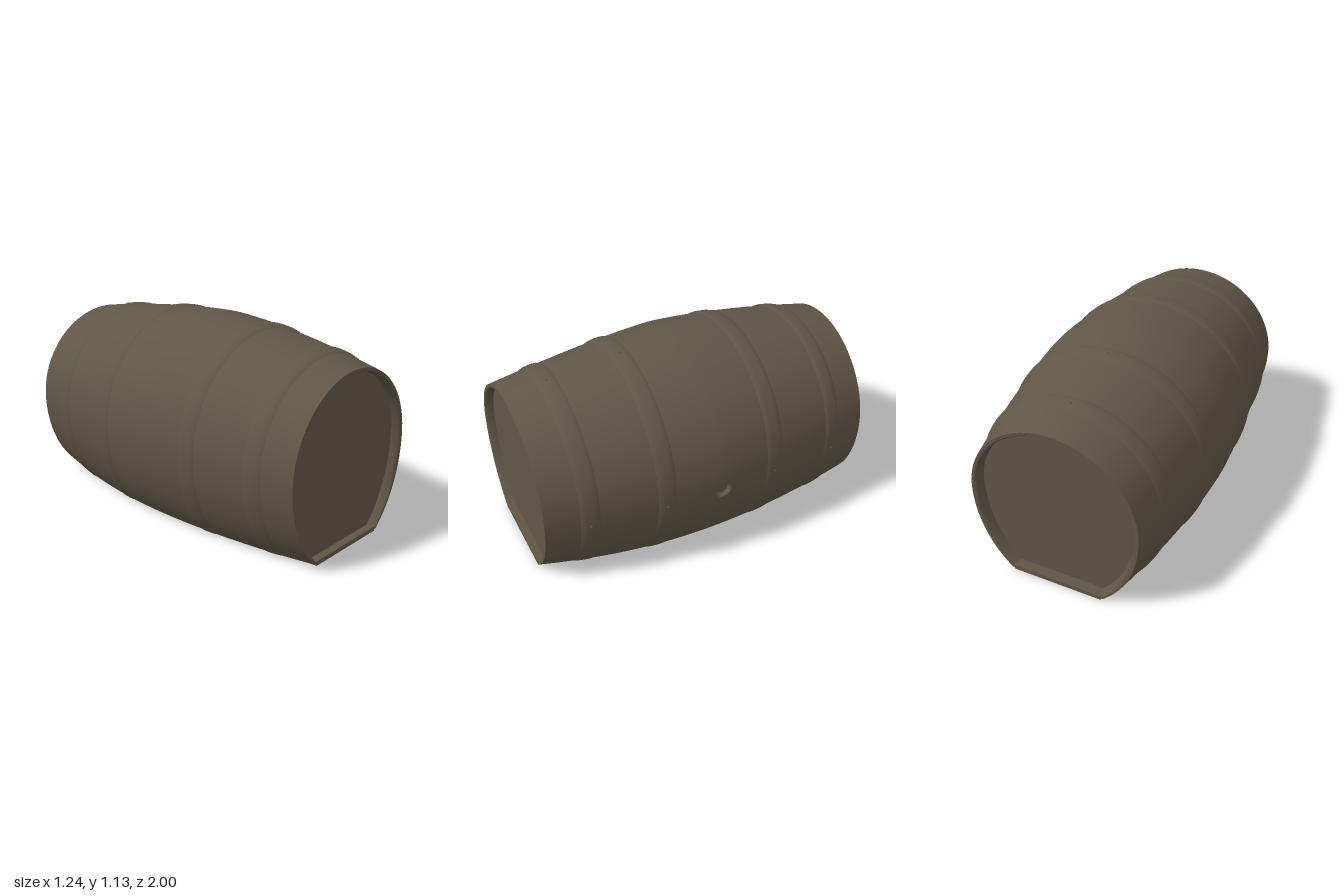
import * as THREE from 'three';
import { toCreasedNormals } from 'three/addons/utils/BufferGeometryUtils.js';

const AXIS_Y = 0.515, FLOOR_Y = 0.01;

// Barrel outline along its length: radius, sideways drift and half width of the cut-off base
const radiusAt = (z) => 0.62 - 0.125 * Math.pow(Math.abs(z), 1.5);
const driftAt = (z) => (z > 0 ? -0.033 : 0.015) * z * z;
const baseAt = (z) => 0.425 - 0.145 * z * z;
// The back end is cut slightly askew
const skewAt = (x, z) => 0.03 * (x + 0.48) * Math.max(0, -z - 0.7) / 0.3;

// One ring of points around the barrel, open along the flat base
function ring(z, steps, offset = 0, lift = 0) {
  const r = radiusAt(z) + offset;
  const start = -Math.acos((baseAt(z) + offset * 0.6) / r);
  const low = (AXIS_Y - FLOOR_Y) / Math.sin(-start);
  return steps.map((t) => {
    const a = start + t * (Math.PI - 2 * start);
    const s = Math.sin(a);
    const x = driftAt(z) + r * Math.cos(a);
    return new THREE.Vector3(x, AXIS_Y + lift + (s > 0 ? r : low) * s, z + skewAt(x, z));
  });
}

// Skin over a row of rings, listed from back to front for outward faces
function loft(rings) {
  const n = rings[0].length, index = [];
  for (let i = 0; i < rings.length - 1; i++) {
    for (let j = 0; j < n - 1; j++) {
      const a = i * n + j, c = a + n;
      index.push(a, a + 1, c, a + 1, c + 1, c);
    }
  }
  const g = new THREE.BufferGeometry().setFromPoints(rings.flat());
  g.setIndex(index);
  g.computeVertexNormals();
  return g;
}

const range = (a, b, n) => Array.from({ length: n + 1 }, (_, i) => a + (b - a) * i / n);
const merge = (...lists) => [...new Set(lists.flat().map((v) => +v.toFixed(4)))].sort((a, b) => a - b);

export function createModel() {
  const group = new THREE.Group();
  const wood = new THREE.MeshStandardMaterial({ color: 0x5f5647, side: THREE.DoubleSide });
  wood.name = 'weathered wood';
  const add = (name, geometry) => {
    const mesh = new THREE.Mesh(geometry, wood);
    mesh.name = name;
    group.add(mesh);
    return mesh;
  };
  const steps = range(0, 1, 96);

  // Hollow stave body, with finer rows where the bung hole is pressed in on the left side
  const fineSteps = merge(steps, range(0.12, 0.2, 60));
  const rows = merge(range(-1, 1, 48), range(-0.06, 0.06, 30));
  const body = rows.map((z) => ring(z, fineSteps));
  for (const p of body.flat()) {
    if (p.x < 0) continue;
    const d = Math.hypot(p.y - 0.48, p.z - 0.01);
    p.x -= 0.025 * (1 - THREE.MathUtils.smoothstep(d, 0.037, 0.048));
  }
  add('staveBody', loft(body));

  // Softly raised hoops
  const hoops = [[-0.79, -0.71], [-0.37, -0.29], [0.3, 0.38], [0.72, 0.8]];
  hoops.forEach(([z0, z1], i) => {
    const profile = [[z0 - 0.012, 0.001], [z0, 0.007], [z0 + 0.02, 0.01], [z1 - 0.02, 0.01], [z1, 0.007], [z1 + 0.012, 0.001]];
    add('hoop' + (i + 1), loft(profile.map(([z, offset]) => ring(z, steps, offset))));
  });

  // Chime rims, recessed heads and the sill below each head
  for (const side of [1, -1]) {
    const label = side > 0 ? 'front' : 'back';
    const inset = side > 0 ? 0.045 : 0.06;
    const profile = [[0, 0, 0], [0, -0.02, 0.003], [0.008, -0.03, 0.006], [inset, -0.042, 0.016]];
    const rings = profile.map(([depth, offset, lift]) => {
      const points = ring(side, steps, offset, lift);
      points.forEach((p) => { p.z -= side * depth; });
      return points;
    });
    const ordered = (list) => (side > 0 ? list : [...list].reverse());
    add(label + 'Rim', toCreasedNormals(loft(ordered(rings)), 0.7));

    // Flat head, fanned from the middle of its lower edge
    const edge = rings[rings.length - 1];
    const middle = edge[0].clone().lerp(edge[edge.length - 1], 0.5);
    add(label + 'Head', loft(ordered([edge, edge.map(() => middle)])));

    const sill = add(label + 'Sill', new THREE.BoxGeometry(0.54, 0.026, inset));
    sill.position.set(middle.x, 0.013, middle.z + side * inset / 2);
    sill.rotation.y = side > 0 ? 0 : -0.03;
  }

  // Small rivets on the hoops
  const rivet = new THREE.SphereGeometry(0.01, 10, 8);
  for (const [z0, z1] of hoops) {
    for (const t of [0.16, 0.5]) {
      add('rivet', rivet).position.copy(ring((z0 + z1) / 2, [t], 0.006)[0]);
    }
  }
  return group;
}
